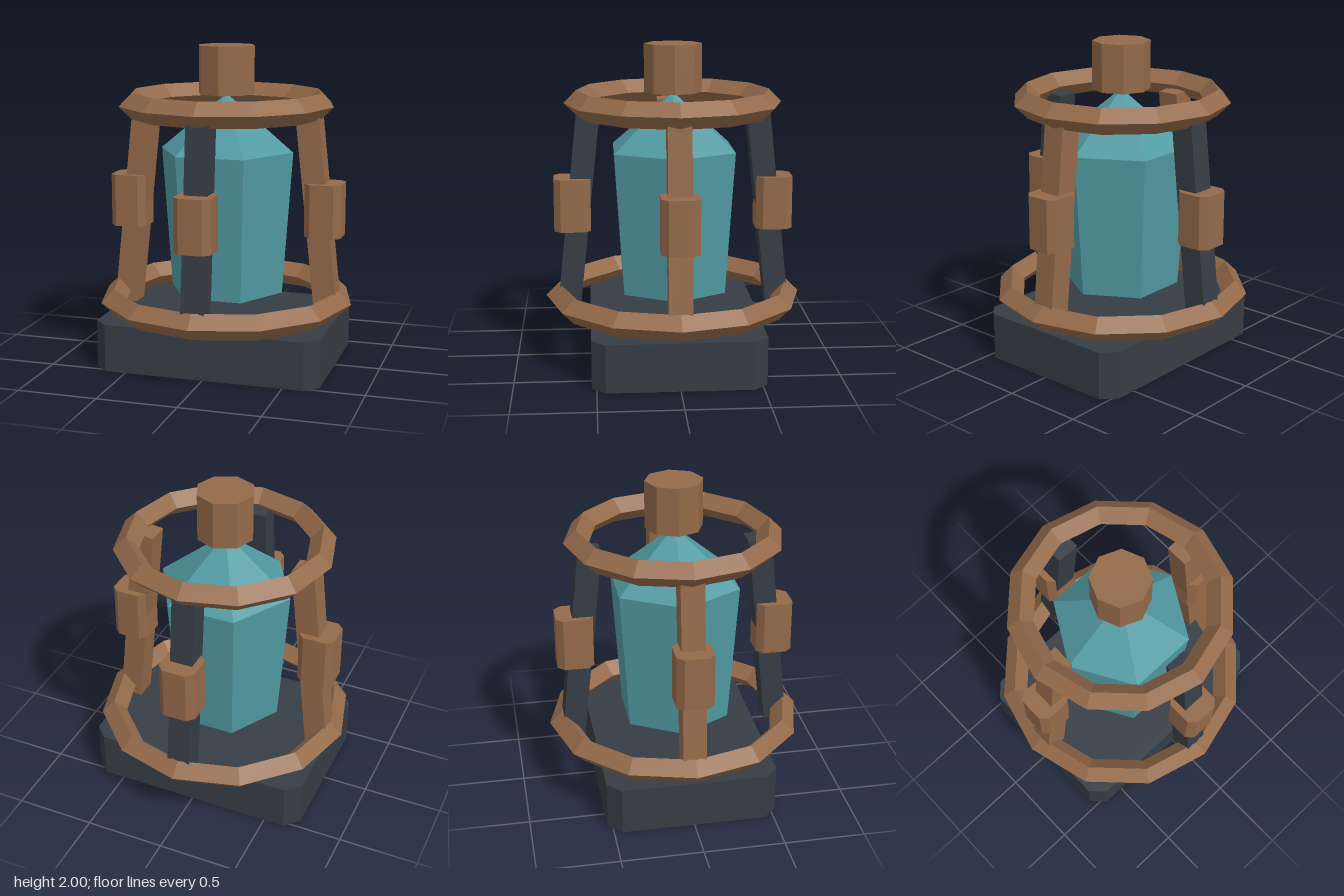
import * as THREE from 'three';

const material = (color) => new THREE.MeshStandardMaterial({ color, flatShading: true });

// Upright box with chamfered vertical edges, resting on y = 0
function chamferedBox(width, height, depth, c) {
  const x = width / 2, z = depth / 2;
  const outline = [
    [x - c, -z], [x, c - z], [x, z - c], [x - c, z],
    [c - x, z], [-x, z - c], [-x, c - z], [c - x, -z],
  ].map(([a, b]) => new THREE.Vector2(a, b));
  const geometry = new THREE.ExtrudeGeometry(new THREE.Shape(outline), { depth: height, bevelEnabled: false });
  return geometry.rotateX(-Math.PI / 2);
}

export function createModel() {
  const model = new THREE.Group();
  model.name = 'lantern';
  const copper = material(0x946a4a);
  const iron = material(0x363d45);
  const glass = material(0x529aa3);

  const add = (name, geometry, mat, y = 0, parent = model) => {
    const mesh = new THREE.Mesh(geometry, mat);
    mesh.name = name;
    mesh.position.y = y;
    parent.add(mesh);
    return mesh;
  };

  // Base plinth
  add('base', chamferedBox(1.43, 0.3, 1.06, 0.083), iron);

  // Diamond-section rings
  const ring = (radius) => new THREE.TorusGeometry(radius, 0.08, 4, 12).rotateX(Math.PI / 2);
  add('lowerRing', ring(0.73), copper, 0.4);
  add('upperRing', ring(0.6), copper, 1.635);

  // Six-sided glass with a pointed roof
  add('glassBody', new THREE.CylinderGeometry(0.43, 0.365, 0.9, 6).rotateY(Math.PI / 6), glass, 0.895);
  add('glassRoof', new THREE.ConeGeometry(0.43, 0.355, 6).rotateY(Math.PI / 6), glass, 1.5225);

  // Eight-sided cap
  add('cap', new THREE.CylinderGeometry(0.18, 0.18, 0.3, 8), copper, 1.85);

  // Four leaning posts, each with a clamp block
  const sides = ['left', 'back', 'right', 'front'];
  sides.forEach((side, i) => {
    const arm = new THREE.Group();
    arm.name = side + 'Support';
    arm.rotation.y = i * Math.PI / 2;
    const post = add(side + 'Post', new THREE.BoxGeometry(0.144, 1.272, 0.144), i % 2 ? iron : copper, 0.9675, arm);
    post.position.x = 0.596;
    post.rotation.z = 0.107;
    const clamp = add(side + 'Clamp', chamferedBox(0.23, 0.333, 0.23, 0.042), copper, 0.835, arm);
    clamp.position.x = 0.635;
    model.add(arm);
  });

  return model;
}
